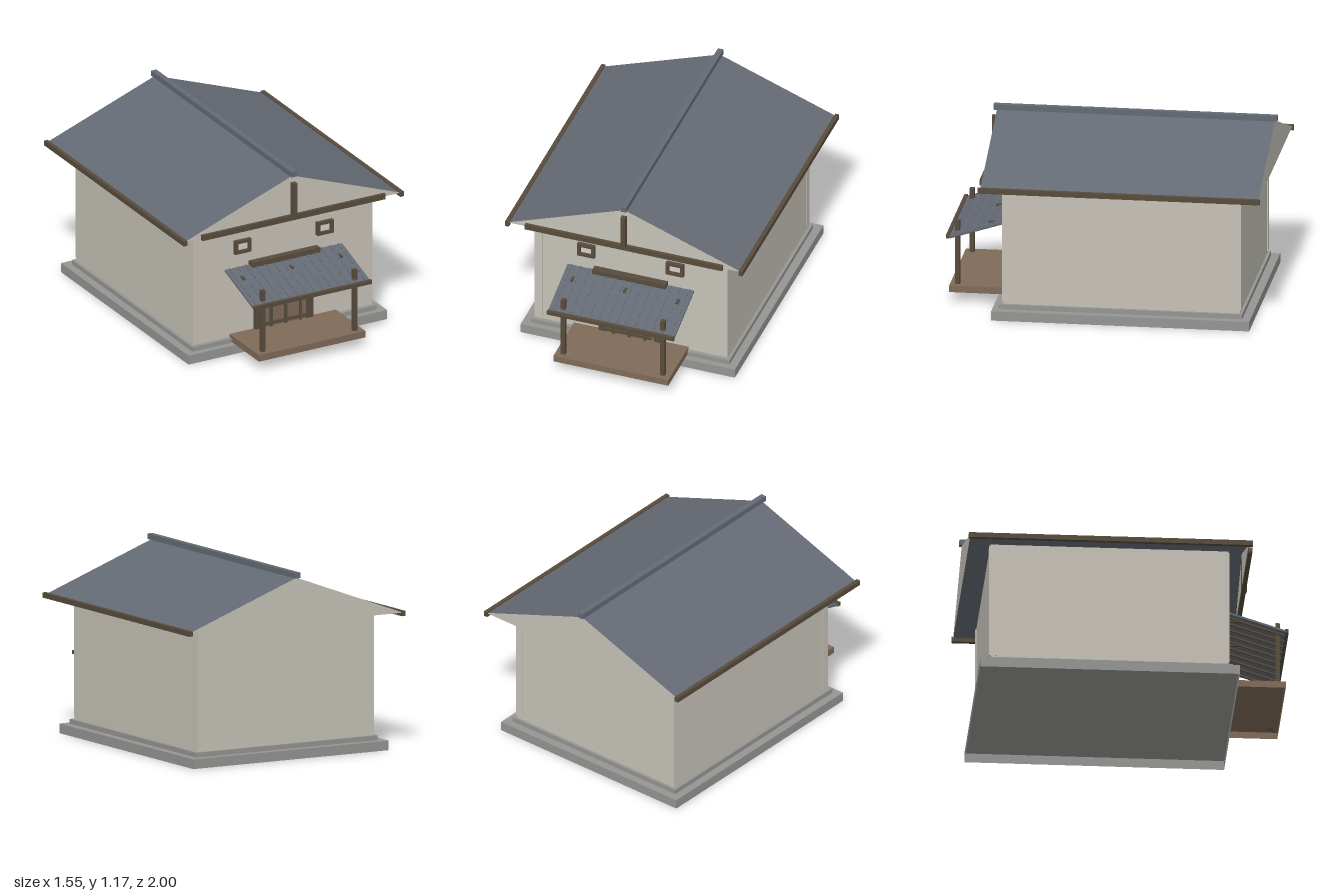
import * as THREE from 'three';

export function createModel() {
  const house = new THREE.Group();
  house.name = 'house';

  const mat = (name, color) => {
    const m = new THREE.MeshStandardMaterial({ color, side: THREE.DoubleSide });
    m.name = name;
    return m;
  };
  const plaster = mat('plaster', 0xc6c2b8);
  const pane = mat('pane', 0xd3d0c8);
  const stone = mat('stone', 0x959593);
  const slate = mat('slate', 0x646a74);
  const timber = mat('darkTimber', 0x574c3c);
  const wood = mat('wood', 0x7f6a57);

  const add = (name, geometry, material, parent = house) => {
    const mesh = new THREE.Mesh(geometry, material);
    mesh.name = name;
    parent.add(mesh);
    return mesh;
  };
  // Box given by its limits on each axis
  const box = (name, material, [x0, x1], [y0, y1], [z0, z1], parent = house) => {
    const g = new THREE.BoxGeometry(x1 - x0, y1 - y0, z1 - z0);
    g.translate((x0 + x1) / 2, (y0 + y1) / 2, (z0 + z1) / 2);
    return add(name, g, material, parent);
  };
  // Same box, but hollow underneath
  const openBox = (...args) => {
    const mesh = box(...args);
    const index = Array.from(mesh.geometry.index.array);
    index.splice(18, 6);
    mesh.geometry.setIndex(index);
    mesh.geometry.clearGroups();
    return mesh;
  };

  // Foundation and walls
  openBox('foundation', stone, [-0.7, 0.7], [0, 0.06], [-0.92, 0.68]);
  openBox('plinth', stone, [-0.65, 0.65], [0.06, 0.09], [-0.87, 0.64]);
  box('walls', plaster, [-0.63, 0.63], [0.09, 0.86], [-0.853, 0.615]);
  for (const s of [-1, 1]) {
    const xs = s > 0 ? [0.58, 0.631] : [-0.631, -0.58];
    box('frontCornerPillar', plaster, xs, [0.11, 0.85], [0.57, 0.621]);
    box('backCornerPillar', plaster, xs, [0.11, 0.85], [-0.86, -0.81]);
  }

  // Main roof: two thin slopes closed by gable triangles, open below
  const eaveX = 0.765, eaveY = 0.86, ridgeY = 1.142, backZ = -0.985, frontZ = 0.74;
  const slopeLength = Math.hypot(eaveX, ridgeY - eaveY);
  for (const s of [-1, 1]) {
    const g = new THREE.PlaneGeometry(slopeLength, frontZ - backZ);
    g.rotateX(-Math.PI / 2);
    g.rotateZ(-s * Math.atan2(ridgeY - eaveY, eaveX));
    g.translate(s * eaveX / 2, (eaveY + ridgeY) / 2, (frontZ + backZ) / 2);
    add('roofSlope', g, slate);
    box('eaveBoard', timber, s > 0 ? [0.75, 0.776] : [-0.776, -0.75], [0.84, 0.872], [-0.995, 0.755]);
  }
  const gable = new THREE.Shape([
    new THREE.Vector2(-eaveX, eaveY),
    new THREE.Vector2(eaveX, eaveY),
    new THREE.Vector2(0, ridgeY),
  ]);
  add('frontGable', new THREE.ShapeGeometry(gable), plaster).position.z = frontZ;
  const backGable = add('backGable', new THREE.ShapeGeometry(gable), plaster);
  backGable.rotation.y = Math.PI;
  backGable.position.z = backZ;
  box('ridge', slate, [-0.018, 0.018], [1.14, 1.175], [-1, 0.76]);
  box('gableBeam', timber, [-0.645, 0.645], [0.85, 0.886], [0.735, 0.76]);
  box('kingPost', timber, [-0.016, 0.016], [0.88, 1.1], [0.735, 0.77]);

  // Small framed windows
  for (const x of [-0.29, 0.29]) {
    const win = new THREE.Group();
    win.name = 'window';
    win.position.set(x, 0.688, 0);
    house.add(win);
    for (const s of [-1, 1]) {
      box('frameRail', timber, [-0.057, 0.057], [s * 0.034 - 0.01, s * 0.034 + 0.01], [0.61, 0.64], win);
      box('frameStile', timber, [s * 0.047 - 0.01, s * 0.047 + 0.01], [-0.044, 0.044], [0.61, 0.64], win);
    }
    box('windowPane', pane, [-0.038, 0.038], [-0.025, 0.025], [0.615, 0.623], win);
  }

  // Door with lattice
  box('doorPanel', wood, [-0.155, 0.155], [0.11, 0.52], [0.61, 0.632]);
  for (const s of [-1, 1]) {
    box('doorJamb', timber, s > 0 ? [0.155, 0.205] : [-0.205, -0.155], [0.11, 0.52], [0.61, 0.638]);
  }
  for (const x of [-0.103, 0, 0.103]) {
    box('latticeBar', timber, [x - 0.009, x + 0.009], [0.12, 0.49], [0.65, 0.66]);
  }
  for (const y of [0.143, 0.267, 0.39]) {
    box('latticeRail', timber, [-0.145, 0.145], [y - 0.009, y + 0.009], [0.648, 0.662]);
  }

  // Porch deck, posts and brackets
  openBox('porchDeck', wood, [-0.375, 0.375], [0.067, 0.11], [0.615, 0.985]);
  for (const x of [-0.325, 0.325]) {
    box('porchPost', timber, [x - 0.014, x + 0.014], [0.11, 0.52], [0.925, 0.953]);
  }
  for (const x of [-0.345, 0, 0.345]) {
    box('roofBracket', timber, [x - 0.008, x + 0.008], [0.512, 0.528], [0.62, 0.745]);
  }
  box('porchTopBeam', timber, [-0.24, 0.24], [0.537, 0.575], [0.615, 0.66]);

  // Sloping porch roof with short tile ribs, rafters and fascia
  const porchRoof = new THREE.Group();
  porchRoof.name = 'porchRoof';
  porchRoof.position.set(0, 0.489, 0.806);
  porchRoof.rotation.x = Math.atan2(0.115, 0.36);
  house.add(porchRoof);
  box('porchSlope', slate, [-0.413, 0.413], [-0.006, 0.006], [-0.192, 0.186], porchRoof);
  for (let i = 0; i < 14; i++) {
    const x = (i - 6.5) * 0.0592;
    for (let row = 0; row < 5; row++) {
      const z = -0.192 + row * 0.076;
      box('tileRib', slate, [x - 0.004, x + 0.004], [0.004, 0.011], [z, z + 0.05], porchRoof);
    }
  }
  for (let i = 0; i < 10; i++) {
    const x = (i - 4.5) * 0.083;
    box('rafter', timber, [x - 0.005, x + 0.005], [-0.018, -0.005], [-0.18, 0.188], porchRoof);
  }
  box('porchFascia', timber, [-0.415, 0.415], [0.424, 0.448], [0.978, 1]);

  return house;
}
